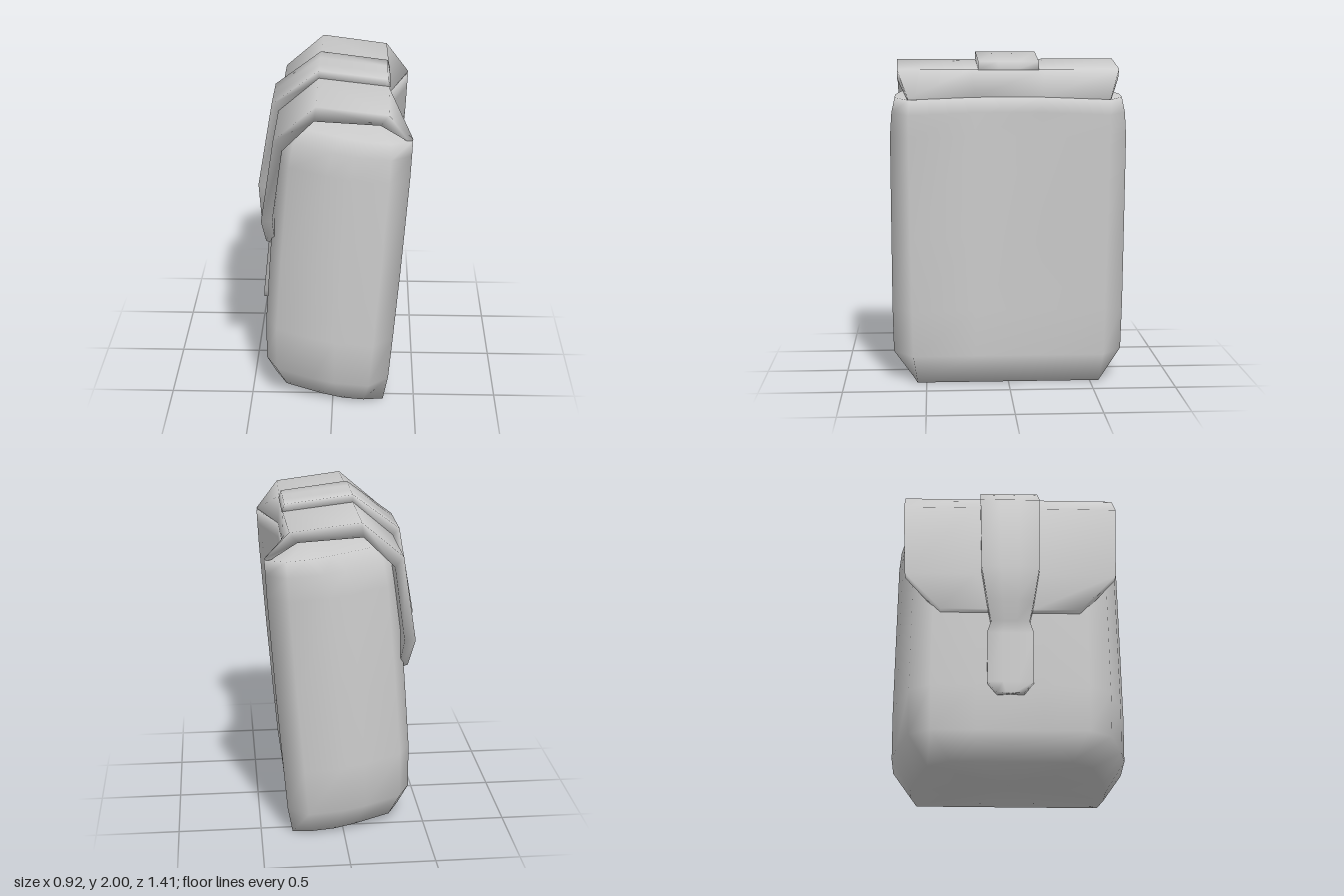
import * as THREE from 'three';

// Skins a list of equal-length closed rings of [x, y, z] and closes both ends.
function loft(rings) {
  const n = rings[0].length, last = rings.length - 1;
  const pos = rings.flat(2), idx = [];
  for (let i = 0; i < last; i++) {
    for (let j = 0; j < n; j++) {
      const k = (j + 1) % n;
      const a = i * n + j, b = i * n + k, c = b + n, d = a + n;
      idx.push(a, b, c, a, c, d);
    }
  }
  for (const end of [0, last]) {
    const centre = pos.length / 3;
    for (let axis = 0; axis < 3; axis++) {
      pos.push(rings[end].reduce((sum, p) => sum + p[axis], 0) / n);
    }
    for (let j = 0; j < n; j++) {
      const a = end * n + j, b = end * n + (j + 1) % n;
      if (end === 0) idx.push(centre, b, a);
      else idx.push(centre, a, b);
    }
  }
  const geo = new THREE.BufferGeometry();
  geo.setAttribute('position', new THREE.Float32BufferAttribute(pos, 3));
  geo.setIndex(idx);
  geo.computeVertexNormals();
  return geo;
}

// One leaning cross-section of the pouch: left and right limits, half depth, chamfer.
function bodyRing([h, left, right, depth, chamfer]) {
  const lean = 0.085;
  const mid = Math.min(right, 0.335 - lean * h); // the hinge wall bows inwards
  const half = [
    [mid, 0.2], [right, depth - chamfer], [right - 0.12, depth],
    [left + 0.42, depth], [left + 0.29, depth - 0.03],
    [left + 0.07, depth - 0.11], [left, depth - 0.24], [left, 0.2],
  ];
  const loop = [
    ...half.map(([u, z]) => [u, -z]),
    ...half.slice().reverse(),
  ];
  return loop.map(([u, z]) => [u + lean * h, h - lean * u + 0.026, z]);
}

// One band section: outer and inner point, half width, outward shift at the side edges.
function bandRing([ox, oy, ix, iy, w, flare = 0]) {
  const columns = [w, w / 3, -w / 3, -w];
  const shift = z => (Math.abs(z) === w ? flare : 0);
  return [
    ...columns.map(z => [ox + shift(z), oy, z]),
    ...columns.reverse().map(z => [ix + shift(z), iy, z]),
  ];
}

export function createModel() {
  const model = new THREE.Group();
  model.name = 'pouch';
  const fabric = new THREE.MeshStandardMaterial({ color: 0xcccccc });
  fabric.name = 'grey fabric';

  const add = (name, rings) => {
    const mesh = new THREE.Mesh(loft(rings), fabric);
    mesh.name = name;
    model.add(mesh);
  };

  // Leaning pouch with chamfered base and rounded outer corners
  add('pouchBody', [
    [0, -0.36, 0.31, 0.585, 0.03],
    [0.17, -0.425, 0.325, 0.7, 0.12],
    [0.45, -0.445, 0.325, 0.705, 0.12],
    [0.9, -0.45, 0.323, 0.705, 0.115],
    [1.5, -0.447, 0.315, 0.705, 0.11],
    [1.64, -0.433, 0.31, 0.695, 0.1],
    [1.73, -0.367, 0.307, 0.675, 0.085],
  ].map(bodyRing));

  // Cover flap, rooted in the hinge wall, over the top and down the other side
  add('coverFlap', [
    [0.25, 1.6, 0.2, 1.6, 0.5],
    [0.335, 1.74, 0.315, 1.72, 0.595, 0.12],
    [0.325, 1.905, 0.28, 1.845, 0.66, -0.01],
    [-0.09, 1.955, -0.1, 1.87, 0.67],
    [-0.33, 1.75, -0.28, 1.69, 0.665],
    [-0.41, 1.24, -0.345, 1.24, 0.64],
    [-0.4, 1.01, -0.345, 0.99, 0.42],
  ].map(bandRing));

  // Closing strap with a narrow waist and rounded tongue
  add('closingStrap', [
    [0.33, 1.905, 0.29, 1.87, 0.18],
    [0.315, 1.95, 0.28, 1.89, 0.18],
    [-0.09, 2.0, -0.09, 1.94, 0.185],
    [-0.37, 1.79, -0.32, 1.74, 0.185],
    [-0.46, 1.27, -0.4, 1.25, 0.175],
    [-0.45, 1.05, -0.39, 1.03, 0.14],
    [-0.405, 0.93, -0.37, 0.91, 0.115],
    [-0.41, 0.85, -0.373, 0.85, 0.14],
    [-0.445, 0.52, -0.405, 0.52, 0.135],
    [-0.45, 0.45, -0.41, 0.45, 0.08],
  ].map(bandRing));

  return model;
}
